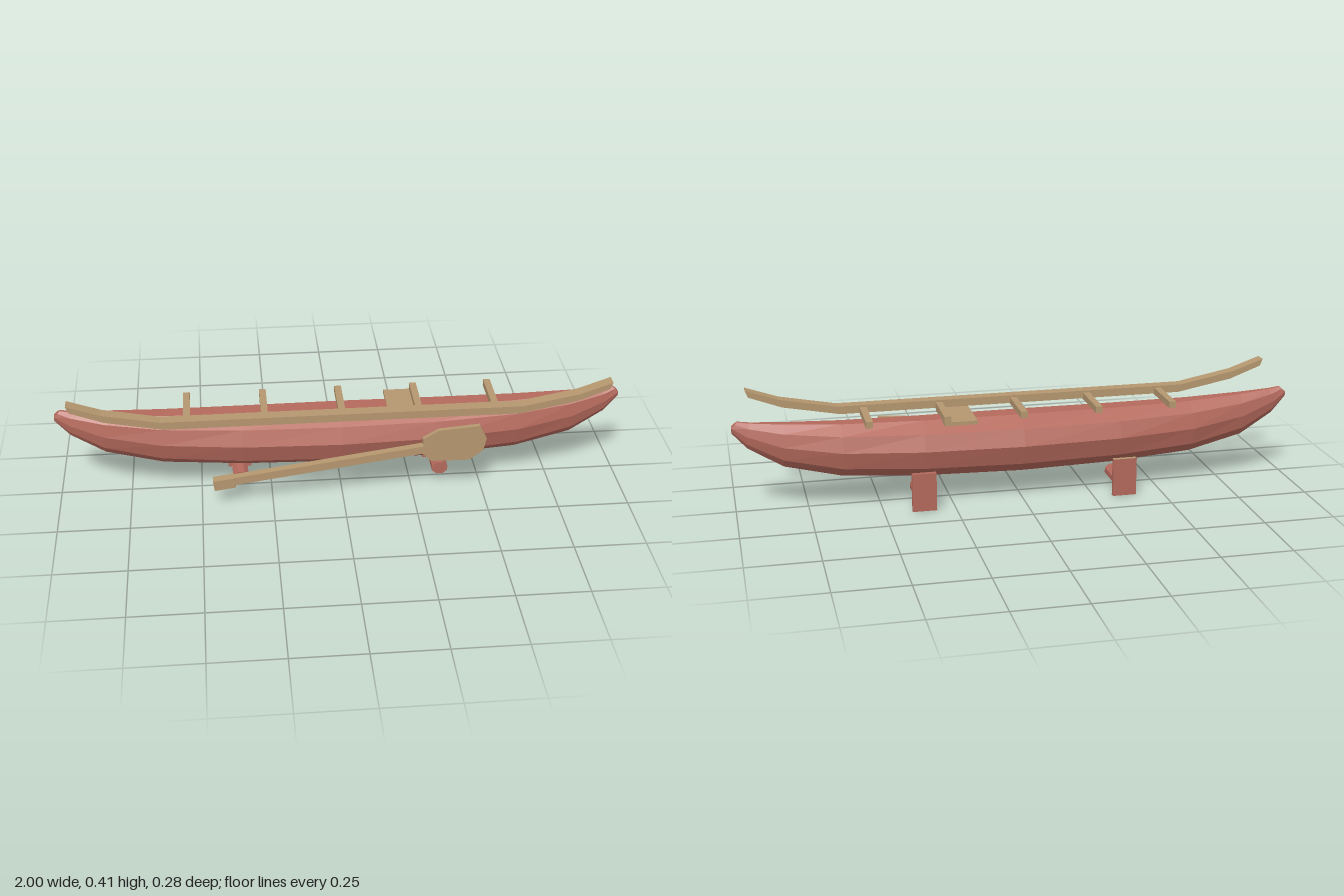
import * as THREE from 'three';

const red = new THREE.MeshStandardMaterial({ color: 0xb4695c, flatShading: true });
red.name = 'red painted wood';
const tan = new THREE.MeshStandardMaterial({ color: 0xb5976f, flatShading: true });
tan.name = 'bare wood';

const HULL_Z = -0.013;

function add(parent, name, geometry, material, x = 0, y = 0, z = 0) {
  const mesh = new THREE.Mesh(geometry, material);
  mesh.name = name;
  mesh.position.set(x, y, z);
  parent.add(mesh);
  return mesh;
}

// Flat outline in x/y, extruded along z from z0 to z1
function slab(points, z0, z1) {
  const shape = new THREE.Shape(points.map(([x, y]) => new THREE.Vector2(x, y)));
  return new THREE.ExtrudeGeometry(shape, { depth: z1 - z0, bevelEnabled: false }).translate(0, 0, z0);
}

// Ten-sided hull sections joined in a loop; each half mirrors the other
function hullGeometry() {
  // x, bottom, middle, top, half width, rake of the top edge
  const half = [
    [0, 0.092, 0.205, 0.300, 0.113, 0],
    [0.35, 0.099, 0.207, 0.300, 0.104, 0],
    [0.63, 0.117, 0.215, 0.304, 0.080, 0],
    [0.83, 0.163, 0.240, 0.314, 0.048, 0.005],
    [0.95, 0.235, 0.280, 0.323, 0.024, 0.012],
    [1.0, 0.291, 0.311, 0.330, 0.013, 0.02],
  ];
  const mirrored = half.slice(1).reverse().map(([x, ...rest]) => [-x, ...rest]);
  const stations = [...mirrored, ...half];
  const sides = 10, pos = [], index = [];
  for (const [x, bottom, middle, top, w, rake] of stations) {
    for (let j = 0; j < sides; j++) {
      const a = (j / sides) * Math.PI * 2;
      const s = Math.sin(a) / Math.sin(Math.PI * 0.4);
      const y = middle + s * (s > 0 ? top - middle : middle - bottom);
      pos.push(x - Math.sign(x) * rake * Math.max(0, s), y, HULL_Z + w * Math.cos(a));
    }
  }
  const last = (stations.length - 1) * sides;
  for (let i = 0; i < last; i += sides) {
    for (let j = 0; j < sides; j++) {
      const k = (j + 1) % sides;
      const a = i + j, b = i + sides + j, c = i + sides + k, d = i + k;
      index.push(a, b, c, a, c, d);
    }
  }
  for (let j = 1; j < sides - 1; j++) {
    index.push(0, j, j + 1, last, last + j + 1, last + j);
  }
  const g = new THREE.BufferGeometry();
  g.setAttribute('position', new THREE.Float32BufferAttribute(pos, 3));
  g.setIndex(index);
  const flat = g.toNonIndexed();
  flat.computeVertexNormals();
  return flat;
}

export function createModel() {
  const model = new THREE.Group();
  model.name = 'canoe';

  add(model, 'hull', hullGeometry(), red);

  // Single upswept rail
  const lower = [[0.62, 0.307], [0.82, 0.345], [0.935, 0.388]];
  const upper = [[0.945, 0.413], [0.83, 0.373], [0.63, 0.335]];
  const right = [...lower, ...upper];
  const left = right.map(([x, y]) => [-x, y]).reverse();
  add(model, 'rail', slab([...right, ...left], 0.07, 0.113), tan);

  // Cross bars and seat
  for (const x of [-0.54, -0.27, 0, 0.27, 0.54]) {
    add(model, 'crossBar', new THREE.BoxGeometry(0.024, 0.024, 0.189), tan, x, 0.316, HULL_Z);
  }
  add(model, 'seat', new THREE.BoxGeometry(0.115, 0.013, 0.18), tan, 0.222, 0.299, HULL_Z);

  // Paddle: sloping shaft, grip and blade
  const paddle = new THREE.Group();
  paddle.name = 'paddle';
  model.add(paddle);
  const slope = Math.atan2(0.1, 0.72);
  const shaft = add(paddle, 'shaft', new THREE.BoxGeometry(0.72, 0.029, 0.027), tan, -0.07, 0.141, 0.123);
  const grip = add(paddle, 'grip', new THREE.BoxGeometry(0.075, 0.038, 0.035), tan, -0.42, 0.088, 0.122);
  shaft.rotation.z = grip.rotation.z = slope;
  const blade = [[0.28, 0.17], [0.31, 0.14], [0.445, 0.138], [0.495, 0.175],
    [0.505, 0.222], [0.48, 0.274], [0.335, 0.262], [0.28, 0.23]];
  add(paddle, 'blade', slab(blade, 0.114, 0.131), tan);

  // Wall brackets: back plate with a chamfered arm
  for (const side of [-1, 1]) {
    const bracket = new THREE.Group();
    bracket.name = side < 0 ? 'rightBracket' : 'leftBracket';
    bracket.position.x = side * 0.36;
    model.add(bracket);
    const top = side < 0 ? tan : red;
    add(bracket, 'backPlate', new THREE.BoxGeometry(0.085, 0.137, 0.016),
      [red, red, top, red, red, red], 0, 0.0685, -0.13);
    const arm = new THREE.CylinderGeometry(1, 1, 0.147, 8).rotateY(Math.PI / 8).rotateX(Math.PI / 2);
    arm.scale(0.03, 0.0245, 1);
    add(bracket, 'arm', arm, red, 0, 0.042, -0.05);
  }
  return model;
}
